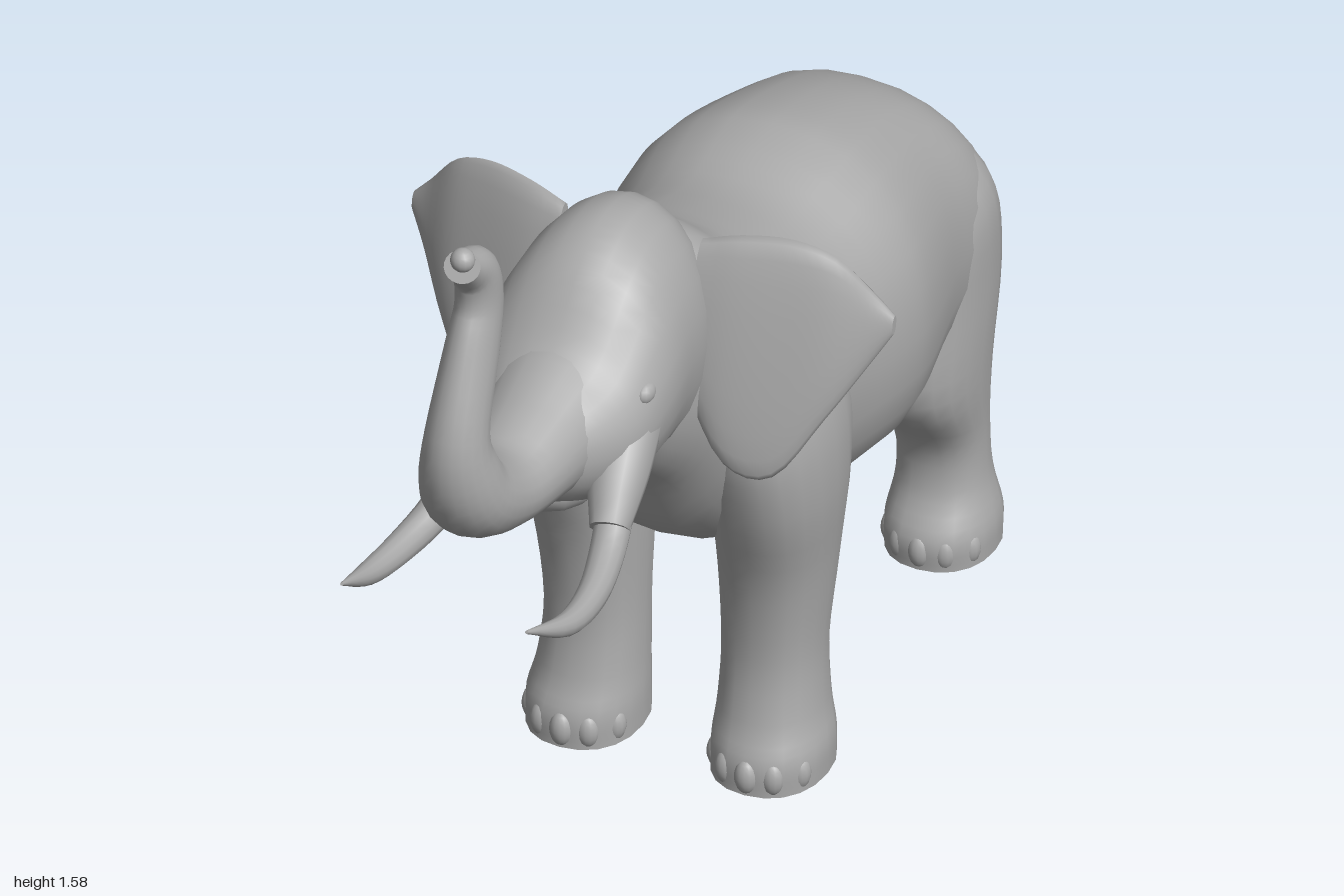
import * as THREE from 'three';

// Skin an elliptical loft through sections [x, y, z, halfU, halfV].
// axis: fixed facing of every ring, or null to follow the path. up: the U direction.
function loft(sections, axis, up, { steps = 4, sides = 20, power = 1 } = {}) {
  const centre = new THREE.CatmullRomCurve3(sections.map(s => new THREE.Vector3(s[0], s[1], s[2])), false, 'catmullrom', 0.5);
  const size = new THREE.CatmullRomCurve3(sections.map(s => new THREE.Vector3(s[3], s[4], 0)), false, 'catmullrom', 0.5);
  const rings = (sections.length - 1) * steps;
  const pos = [], idx = [];
  const soften = a => Math.sign(a) * Math.pow(Math.abs(a), power);
  const addRing = i => {
    const t = i / rings, c = centre.getPoint(t), r = size.getPoint(t);
    const T = axis ? axis : centre.getTangent(t);
    const v = T.clone().cross(up).normalize(), u = v.clone().cross(T).normalize();
    for (let k = 0; k < sides; k++) {
      const a = (k / sides) * Math.PI * 2;
      const p = c.clone().addScaledVector(u, soften(Math.cos(a)) * r.x).addScaledVector(v, soften(Math.sin(a)) * r.y);
      pos.push(p.x, p.y, p.z);
    }
    return c;
  };
  for (let i = 0; i <= rings; i++) addRing(i);
  for (let i = 0; i < rings; i++) for (let k = 0; k < sides; k++) {
    const a = i * sides + k, b = i * sides + (k + 1) % sides;
    idx.push(a, b, b + sides, a, b + sides, a + sides);
  }
  // End caps have their own corners so their edges stay crisp
  for (const end of [0, rings]) {
    const start = pos.length / 3, c = addRing(end), mid = pos.length / 3;
    pos.push(c.x, c.y, c.z);
    for (let k = 0; k < sides; k++) {
      const a = start + k, b = start + (k + 1) % sides;
      if (end) idx.push(a, b, mid); else idx.push(b, a, mid);
    }
  }
  const g = new THREE.BufferGeometry();
  g.setAttribute('position', new THREE.Float32BufferAttribute(pos, 3));
  g.setIndex(idx);
  g.computeVertexNormals();
  return g;
}

export function createModel() {
  const group = new THREE.Group();
  const hide = new THREE.MeshStandardMaterial({ color: 0xaaaaaa });
  hide.name = 'greyHide';
  const X = new THREE.Vector3(1, 0, 0), Y = new THREE.Vector3(0, 1, 0), Z = new THREE.Vector3(0, 0, 1);
  const earUp = new THREE.Vector3(0, 1, -0.19);

  const add = (name, geometry) => {
    const mesh = new THREE.Mesh(geometry, hide);
    mesh.name = name;
    group.add(mesh);
    return mesh;
  };
  const blob = (name, x, y, z, rx, ry, rz) => {
    const mesh = add(name, new THREE.SphereGeometry(1, 14, 10));
    mesh.position.set(x, y, z);
    mesh.scale.set(rx, ry, rz);
  };
  // Rows of [z, top, bottom, halfWidth] become rings facing +z
  const profile = rows => rows.map(([z, t, b, w]) => [0, (t + b) / 2, z, w, (t - b) / 2]);

  // Barrel body, rump to neck
  add('body', loft(profile([
    [-0.9, 0.68, 0.6, 0.05], [-0.888, 0.75, 0.51, 0.15], [-0.85, 0.825, 0.445, 0.212], [-0.76, 0.915, 0.4, 0.245],
    [-0.62, 0.985, 0.375, 0.256], [-0.45, 1.035, 0.355, 0.29], [-0.35, 1.038, 0.37, 0.295], [-0.2, 1.028, 0.395, 0.27],
    [0, 1.1, 0.44, 0.265], [0.12, 1.19, 0.53, 0.22], [0.2, 1.22, 0.66, 0.18], [0.3, 1.2, 0.76, 0.13],
  ]), Z, X, { sides: 28, power: 0.9 }));

  // Domed head
  add('head', loft(profile([
    [0.08, 1.15, 0.8, 0.08], [0.13, 1.22, 0.75, 0.13], [0.2, 1.272, 0.75, 0.16], [0.3, 1.287, 0.78, 0.172],
    [0.4, 1.245, 0.8, 0.18], [0.5, 1.14, 0.83, 0.165], [0.58, 1.1, 0.87, 0.125], [0.64, 1.06, 0.92, 0.07],
  ]), Z, X, { sides: 24 }));
  blob('lowerJaw', 0, 0.885, 0.49, 0.09, 0.065, 0.11);

  // Raised trunk
  add('trunk', loft([
    [0, 1.01, 0.48, 0.13, 0.13], [0, 0.998, 0.62, 0.105, 0.1], [0, 1.0, 0.74, 0.088, 0.076],
    [0, 1.05, 0.845, 0.083, 0.077], [0, 1.12, 0.89, 0.072, 0.074], [0, 1.21, 0.9, 0.056, 0.062],
    [0, 1.35, 0.84, 0.046, 0.064], [0, 1.43, 0.811, 0.04, 0.056], [0, 1.5, 0.825, 0.038, 0.046],
    [0, 1.545, 0.88, 0.034, 0.03],
  ], null, X));
  blob('trunkTip', 0, 1.558, 0.878, 0.022, 0.022, 0.022);

  // Tail
  add('tail', loft([
    [0, 0.81, -0.84, 0.045, 0.025], [0, 0.73, -0.89, 0.036, 0.024], [0, 0.61, -0.935, 0.024, 0.022],
    [0, 0.5, -0.972, 0.014, 0.016], [0, 0.41, -0.998, 0.003, 0.003],
  ], null, X, { sides: 10 }));

  // Mirrored parts
  for (const [side, s] of [['left', 1], ['right', -1]]) {
    // Ear: thin leaf swept outward and back, lower edge forward; rows of [x, top, bottom, z, halfThickness]
    add(side + 'Ear', loft([
      [0.13, 1.2, 0.9, 0.2, 0.028], [0.2, 1.22, 0.785, 0.2, 0.028], [0.285, 1.222, 0.77, 0.18, 0.024],
      [0.36, 1.19, 0.88, 0.145, 0.022], [0.42, 1.115, 0.98, 0.105, 0.018], [0.455, 1.075, 1.04, 0.09, 0.008],
    ].map(([x, t, b, z, h]) => [s * x, (t + b) / 2, z, (t - b) / 2, h]), X.clone().multiplyScalar(s), earUp, { power: 0.9 }));

    add(side + 'TuskSocket', loft([
      [s * 0.11, 1.0, 0.42, 0.06, 0.07], [s * 0.13, 0.93, 0.52, 0.055, 0.06], [s * 0.15, 0.865, 0.6, 0.036, 0.036],
    ], null, X, { sides: 12 }));
    add(side + 'Tusk', loft([
      [s * 0.14, 0.9, 0.54, 0.034, 0.034], [s * 0.16, 0.84, 0.63, 0.032, 0.033], [s * 0.18, 0.82, 0.74, 0.027, 0.03],
      [s * 0.187, 0.838, 0.86, 0.02, 0.022], [s * 0.175, 0.903, 0.995, 0.003, 0.003],
    ], null, X, { sides: 12 }));
    blob(side + 'Eye', s * 0.153, 1.06, 0.455, 0.016, 0.02, 0.026);

    // Legs: rows of [y, x, halfX, z, halfZ]
    const leg = rows => loft(rows.map(([y, x, hx, z, hz]) => [s * x, y, z, hz, hx]), Y, Z, { power: 0.9 });
    add(side + 'FrontLeg', leg([
      [0, 0.175, 0.103, -0.022, 0.122], [0.06, 0.175, 0.103, -0.022, 0.12], [0.13, 0.17, 0.094, -0.035, 0.107],
      [0.25, 0.168, 0.09, -0.045, 0.1], [0.42, 0.175, 0.1, -0.045, 0.12], [0.6, 0.188, 0.11, -0.02, 0.155],
      [0.76, 0.18, 0.11, -0.01, 0.175], [0.92, 0.15, 0.08, 0, 0.12], [0.98, 0.13, 0.03, 0, 0.05],
    ]));
    add(side + 'BackLeg', leg([
      [0, 0.16, 0.098, -0.755, 0.11], [0.06, 0.16, 0.098, -0.755, 0.11], [0.14, 0.157, 0.083, -0.765, 0.08],
      [0.24, 0.155, 0.083, -0.757, 0.08], [0.38, 0.152, 0.097, -0.715, 0.138], [0.56, 0.148, 0.108, -0.732, 0.152],
      [0.72, 0.146, 0.105, -0.73, 0.13], [0.82, 0.125, 0.07, -0.72, 0.085], [0.86, 0.11, 0.02, -0.71, 0.03],
    ]));

    // Toenails around the front of each foot
    for (const [name, x, z, rx, rz] of [['Front', 0.175, -0.022, 0.09, 0.112], ['Back', 0.16, -0.755, 0.085, 0.098]]) {
      for (let i = -2; i <= 2; i++) {
        const a = i * 0.5;
        blob(side + name + 'Toe', s * x + Math.sin(a) * rx, 0.034, z + Math.cos(a) * rz, 0.022, 0.034, 0.021);
      }
    }
  }
  return group;
}
